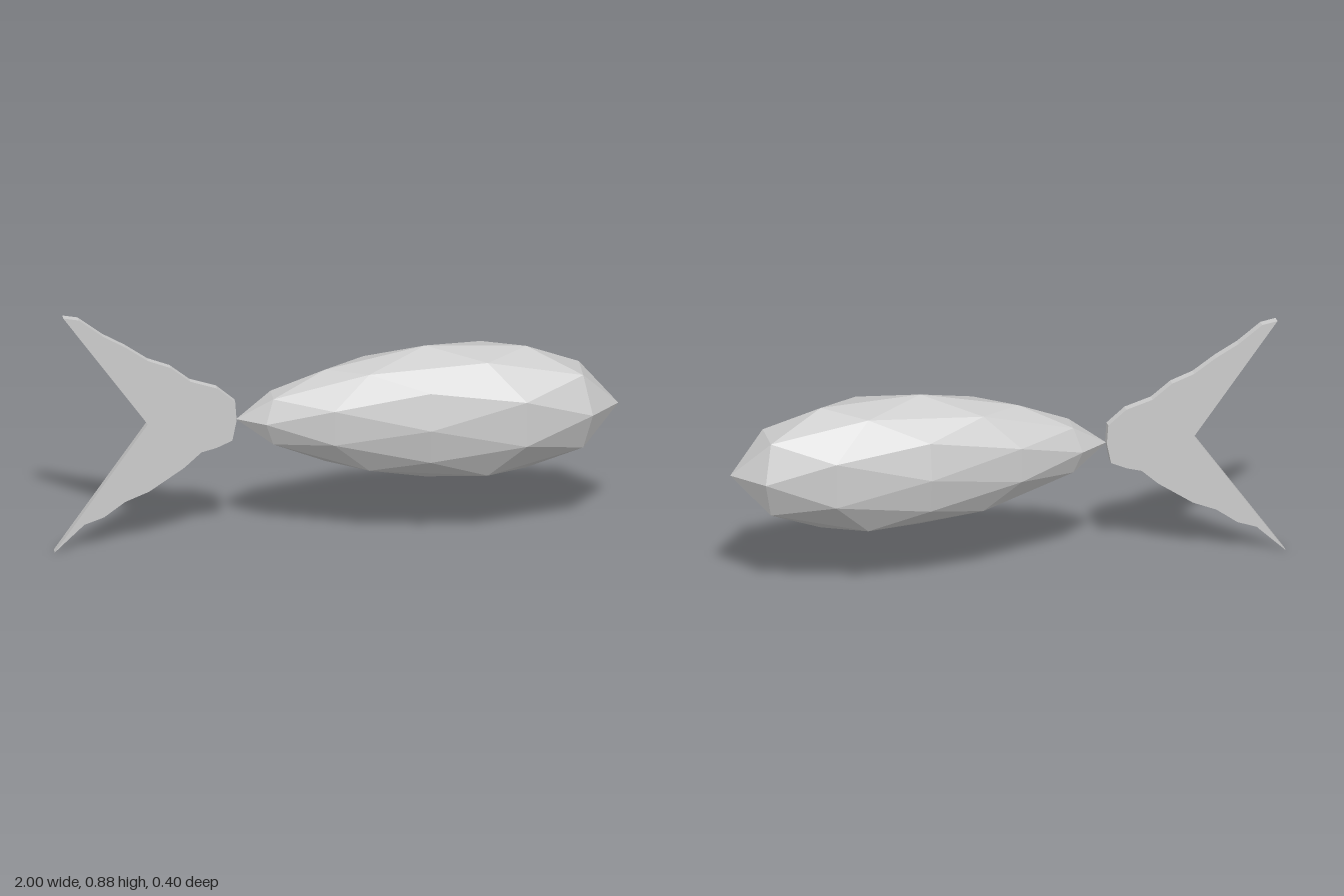
import * as THREE from 'three';

const material = new THREE.MeshStandardMaterial({ color: 0xcccccc, flatShading: true });
const MID_Y = 0.47;

// Faceted body: a geodesic sphere stretched along x and tapered towards the tail
function makeBody() {
  const geometry = new THREE.IcosahedronGeometry(1, 1);
  const p = geometry.attributes.position;
  for (let i = 0; i < p.count; i++) {
    const n = p.getX(i);
    const girth = 1 + 0.257 * n - 0.16 * n * n;
    p.setXYZ(
      i,
      0.315 + 0.6775 * n + 0.0075 * n * n,
      MID_Y + 0.248 * girth * p.getY(i),
      0.2 * girth * p.getZ(i)
    );
  }
  geometry.computeVertexNormals();
  const mesh = new THREE.Mesh(geometry, material);
  mesh.name = 'body';
  return mesh;
}

// Forked tail fin: a flat plate with ragged leading edges
function makeTailFin() {
  const outline = [
    [-0.97, 0.885], [-0.915, 0.875], [-0.83, 0.81], [-0.75, 0.765], [-0.67, 0.71],
    [-0.59, 0.68], [-0.52, 0.625], [-0.425, 0.595], [-0.36, 0.54], [-0.355, 0.47],
    [-0.37, 0.395], [-0.425, 0.37], [-0.48, 0.355], [-0.54, 0.3], [-0.665, 0.215],
    [-0.75, 0.18], [-0.825, 0.125], [-0.895, 0.1], [-1, 0], [-0.67, 0.47],
  ];
  const shape = new THREE.Shape(outline.map(([x, y]) => new THREE.Vector2(x, y)));
  const thickness = 0.03;
  const geometry = new THREE.ExtrudeGeometry(shape, { depth: thickness, bevelEnabled: false });
  geometry.translate(0, 0, -thickness / 2);
  const mesh = new THREE.Mesh(geometry, material);
  mesh.name = 'tailFin';
  return mesh;
}

export function createModel() {
  const group = new THREE.Group();
  group.name = 'fish';
  group.add(makeBody(), makeTailFin());
  return group;
}
